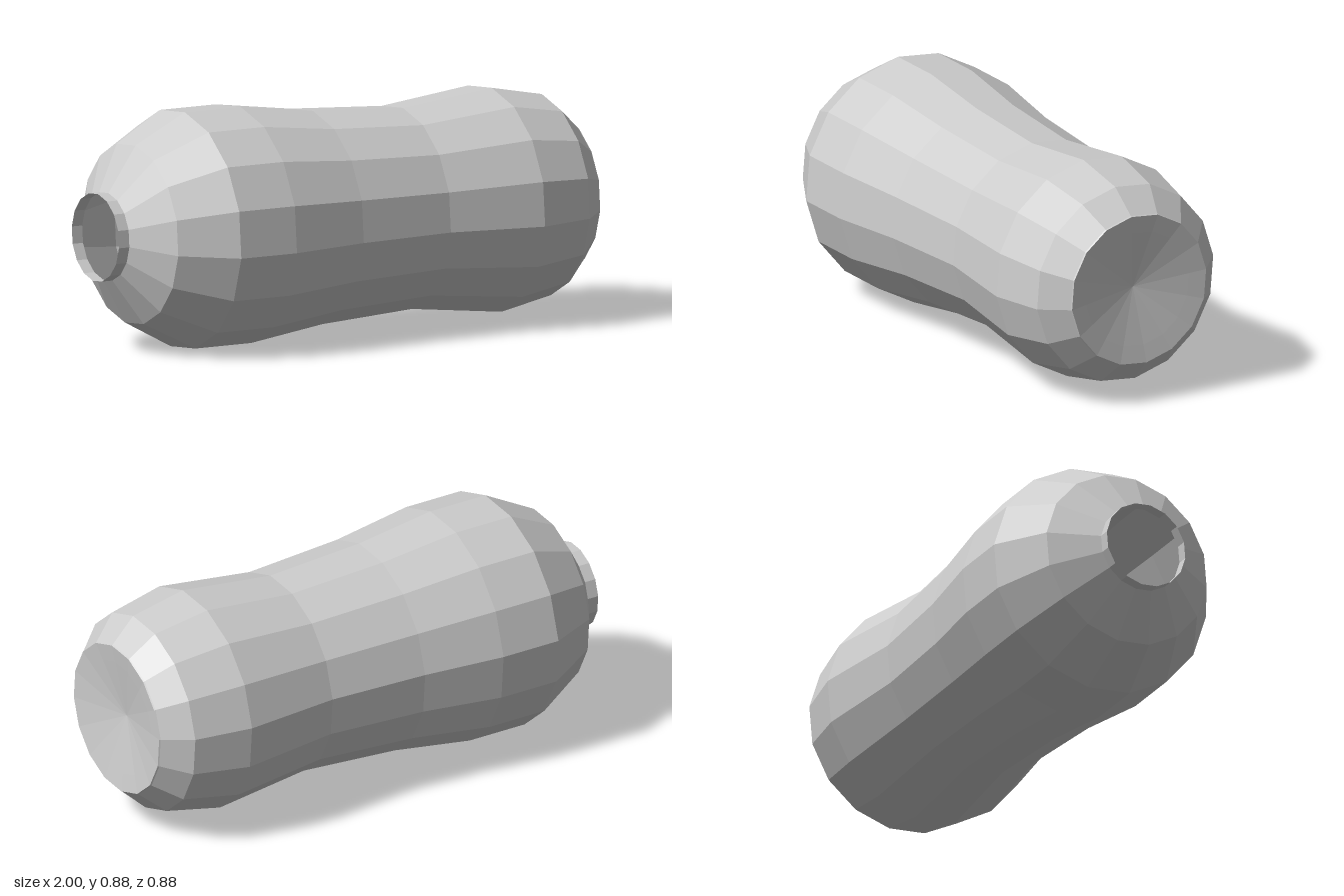
import * as THREE from 'three';

const SIDES = 16;
const CENTRE_Y = 0.442;
const TWIST = THREE.MathUtils.degToRad(6.4);

// Turns a profile of [x, radius] pairs around the lengthwise x axis
function turned(name, profile, material) {
  const points = profile.map(([x, r]) => new THREE.Vector2(r, x));
  const geometry = new THREE.LatheGeometry(points, SIDES, -Math.PI / 2 + TWIST);
  geometry.rotateZ(-Math.PI / 2);
  const mesh = new THREE.Mesh(geometry, material);
  mesh.name = name;
  mesh.position.y = CENTRE_Y;
  return mesh;
}

export function createModel() {
  const grey = new THREE.MeshStandardMaterial({
    color: 0xcccccc, flatShading: true, side: THREE.DoubleSide,
  });
  grey.name = 'light grey';

  const group = new THREE.Group();
  group.name = 'bottle';

  // Short open neck
  group.add(turned('neck', [[-1, 0.164], [-0.955, 0.164]], grey));

  // Shoulder, waist and rounded heel
  group.add(turned('body', [
    [-0.955, 0.164], [-0.85, 0.335], [-0.645, 0.443], [-0.405, 0.443],
    [-0.09, 0.4], [0.3, 0.377], [0.68, 0.42], [0.9, 0.377], [0.995, 0.29], [1, 0.287],
  ], grey));

  // Shallow dished base
  group.add(turned('base', [[1, 0.287], [0.99, 0.22], [0.955, 0]], grey));

  return group;
}
